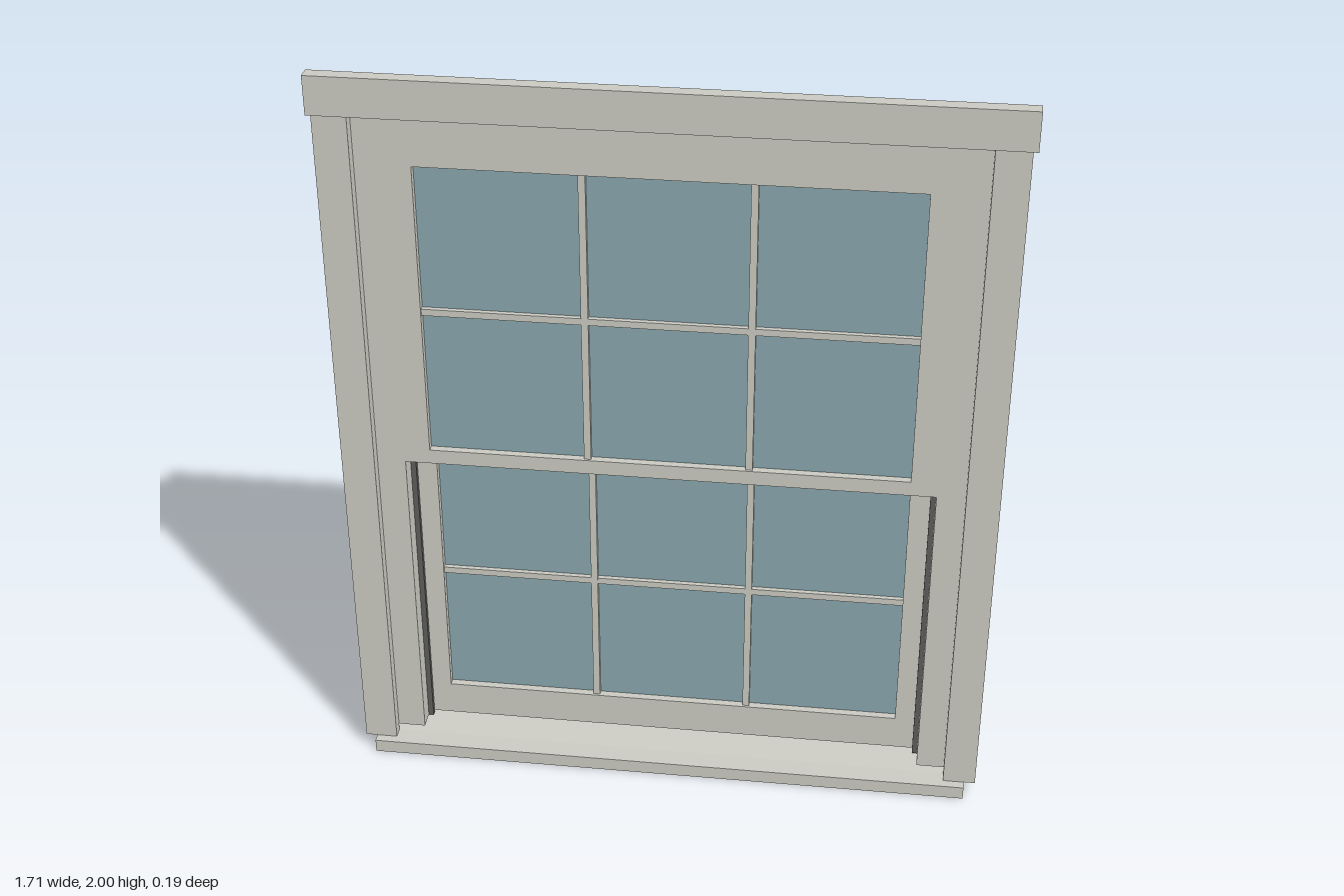
import * as THREE from 'three';

const paint = new THREE.MeshStandardMaterial({ name: 'paintedFrame', color: 0xc9c9c1 });
const glass = new THREE.MeshStandardMaterial({ name: 'glass', color: 0x88a4ac });
const dark = new THREE.MeshStandardMaterial({ name: 'darkHardware', color: 0x5c5c5a });

// Box given by its limits on each axis
function box(parent, name, mat, [x0, x1], [y0, y1], [z0, z1]) {
  const mesh = new THREE.Mesh(new THREE.BoxGeometry(x1 - x0, y1 - y0, z1 - z0), mat);
  mesh.position.set((x0 + x1) / 2, (y0 + y1) / 2, (z0 + z1) / 2);
  mesh.name = name;
  parent.add(mesh);
  return mesh;
}

function extrude(shape, depth, name, mat) {
  const mesh = new THREE.Mesh(new THREE.ExtrudeGeometry(shape, { depth, bevelEnabled: false }), mat);
  mesh.name = name;
  return mesh;
}

// Sash: a rectangular ring, one pane and a grid of glazing bars, three columns by two rows
function makeSash(name, [y0, y1], [g0, g1], [z0, z1]) {
  const sash = new THREE.Group();
  sash.name = name;
  const outer = 0.683, inner = 0.617, bar = 0.009;
  const ring = new THREE.Shape([[-outer, y0], [outer, y0], [outer, y1], [-outer, y1]].map(p => new THREE.Vector2(...p)));
  ring.holes.push(new THREE.Path([[-inner, g0], [-inner, g1], [inner, g1], [inner, g0]].map(p => new THREE.Vector2(...p))));
  const frame = extrude(ring, z1 - z0, name + 'Frame', paint);
  frame.position.z = z0;
  sash.add(frame);

  const zm = (z0 + z1) / 2, gm = (g0 + g1) / 2;
  box(sash, name + 'Glass', glass, [-inner, inner], [g0, g1], [zm - 0.004, zm + 0.004]);
  for (const x of [-0.207, 0.207]) {
    box(sash, name + 'VerticalBar', paint, [x - bar, x + bar], [g0, g1], [zm - 0.018, zm + 0.018]);
  }
  box(sash, name + 'HorizontalBar', paint, [-inner, inner], [gm - bar, gm + bar], [zm - 0.017, zm + 0.017]);
  return sash;
}

export function createModel() {
  const model = new THREE.Group();
  model.name = 'sashWindow';

  // Sloping sill, profile drawn in z and y and extruded along x
  const profile = [[0.094, 0], [0.094, 0.037], [0.041, 0.04], [-0.065, 0.056], [-0.094, 0.056], [-0.094, 0]];
  const sillShape = new THREE.Shape(profile.map(([z, y]) => new THREE.Vector2(-z, y)));
  const sill = extrude(sillShape, 1.626, 'sill', paint);
  sill.rotation.y = Math.PI / 2;
  sill.position.x = -0.813;
  model.add(sill);

  // Outer casing
  box(model, 'headCasing', paint, [-0.855, 0.855], [1.9, 2], [0.041, 0.078]);
  for (const s of [-1, 1]) {
    const span = (a, b) => (s > 0 ? [a, b] : [-b, -a]);
    box(model, 'sideCasing', paint, span(0.757, 0.843), [0.04, 1.9], [0.041, 0.073]);
    // Jambs and the dark parting bead between the two sashes
    box(model, 'jamb', paint, span(0.683, 0.757), [0.06, 1.9], [-0.073, 0.041]);
    box(model, 'partingBead', dark, span(0.669, 0.683), [0.06, 1.833], [-0.023, -0.009]);
    // Finger lifts on the inside of the lower sash
    box(model, 'fingerLift', dark, span(0.285, 0.33), [0.108, 0.124], [-0.087, -0.073]);
  }
  box(model, 'frameHead', paint, [-0.683, 0.683], [1.833, 1.9], [-0.073, 0.041]);

  // Sliding sashes, upper one to the front
  model.add(makeSash('upperSash', [0.93, 1.833], [0.97, 1.765], [-0.008, 0.041]));
  model.add(makeSash('lowerSash', [0.066, 0.97], [0.163, 0.927], [-0.073, -0.024]));

  // Lock on the meeting rail
  box(model, 'lockBase', dark, [-0.042, 0.042], [0.97, 0.979], [-0.062, -0.03]);
  box(model, 'lockLever', dark, [-0.02, 0.035], [0.979, 0.987], [-0.054, -0.038]);
  return model;
}
